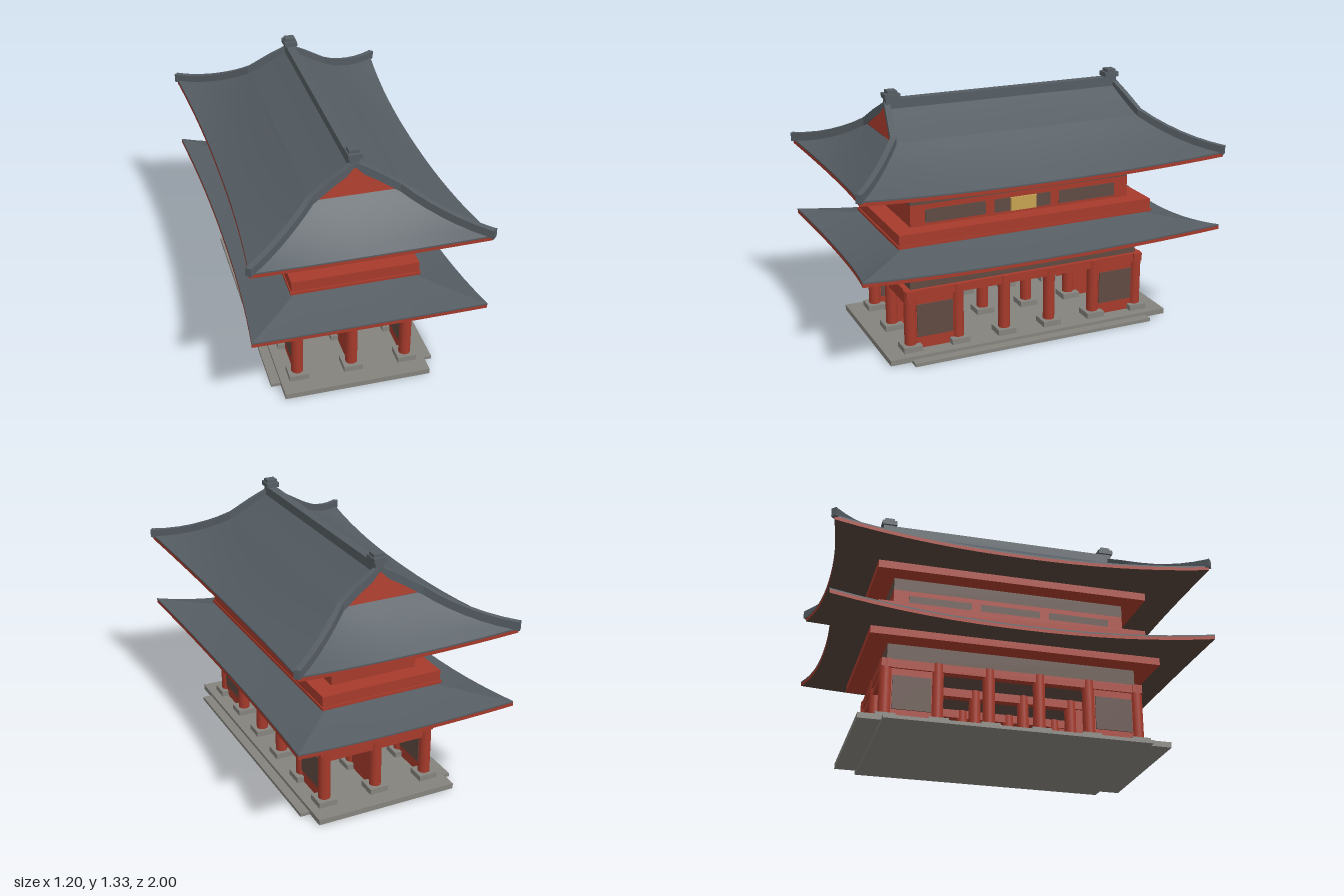
import * as THREE from 'three';
import { mergeGeometries } from 'three/addons/utils/BufferGeometryUtils.js';

const mat = (name, color, side = THREE.FrontSide) => {
  const m = new THREE.MeshStandardMaterial({ color, side });
  m.name = name;
  return m;
};
const lerp = THREE.MathUtils.lerp;
const V = (x, y, z) => new THREE.Vector3(x, y, z);

// Grid surface from fn(u, v), normal along du x dv
function surface(fn, nu, nv) {
  const pos = [], idx = [];
  for (let j = 0; j <= nv; j++)
    for (let i = 0; i <= nu; i++) pos.push(...fn(i / nu, j / nv).toArray());
  for (let j = 0; j < nv; j++)
    for (let i = 0; i < nu; i++) {
      const a = j * (nu + 1) + i, d = a + nu + 1;
      idx.push(a, a + 1, d, a + 1, d + 1, d);
    }
  const g = new THREE.BufferGeometry();
  g.setAttribute('position', new THREE.Float32BufferAttribute(pos, 3));
  g.setIndex(idx);
  g.computeVertexNormals();
  return g;
}

// Rectangular bar swept along a path, sitting on the path points
function bar(points, w, h) {
  const rings = points.map((p, i) => {
    const d = points[Math.min(i + 1, points.length - 1)].clone().sub(points[Math.max(i - 1, 0)]);
    const n = V(-d.z, 0, d.x).normalize().multiplyScalar(w / 2);
    return [[-1, -0.012], [1, -0.012], [1, h], [-1, h]].map(([a, y]) =>
      p.clone().addScaledVector(n, a).add(V(0, y, 0)));
  });
  const pos = [];
  const quad = (a, b, c, d) => [a, b, c, a, c, d].forEach(p => pos.push(p.x, p.y, p.z));
  for (let i = 0; i + 1 < rings.length; i++)
    for (let k = 0; k < 4; k++) {
      const l = (k + 1) % 4;
      quad(rings[i][k], rings[i + 1][k], rings[i + 1][l], rings[i][l]);
    }
  quad(...rings[0]);
  quad(...rings[rings.length - 1].slice().reverse());
  const g = new THREE.BufferGeometry();
  g.setAttribute('position', new THREE.Float32BufferAttribute(pos, 3));
  g.computeVertexNormals();
  return g;
}

// Eave line: bows inward and dips in the middle, s = -1..1 along one side
function eave(alongX, sg, s, yMid, yEnd) {
  const k = Math.abs(s) ** 2.2, y = lerp(yMid, yEnd, k);
  return alongX ? V(s * 0.585, y, sg * lerp(0.93, 0.985, k)) : V(sg * lerp(0.532, 0.585, k), y, s * 0.985);
}
const inner = (alongX, sg, s, r) => alongX ? V(s * r.x, r.y, sg * r.z) : V(sg * r.x, r.y, s * r.z);

// Point on a roof skirt from its inner rectangle (t = 0) to the eave (t = 1)
function skirt(alongX, sg, s, t, top, yMid, yEnd) {
  const a = inner(alongX, sg, s, top), b = eave(alongX, sg, s, yMid, yEnd);
  const f = t + (0.2 + 0.5 * s * s) * t * (1 - t);
  return V(lerp(a.x, b.x, t), lerp(a.y, b.y, f), lerp(a.z, b.z, t));
}

// One strip repeated on all four sides
function fourSides(fn, nu, nv) {
  const parts = [];
  for (const alongX of [false, true])
    for (const sg of [-1, 1]) {
      const dir = alongX ? -sg : sg;
      parts.push(surface((u, v) => fn(alongX, sg, dir * (2 * u - 1), v), nu, nv));
    }
  return mergeGeometries(parts);
}

export function createModel() {
  const red = mat('vermilion', 0xa63a2b);
  const tile = mat('roof tile', 0x555d63, THREE.DoubleSide);
  const trim = mat('eave red', 0xa63a2b, THREE.DoubleSide);
  const brown = mat('brown wall', 0x5f4a42);
  const soffitMat = mat('soffit brown', 0x55413a, THREE.DoubleSide);
  const stone = mat('stone', 0x85837d);
  const gold = mat('gold', 0xc8a352);

  const root = new THREE.Group();
  root.name = 'templeGate';
  const add = (name, geo, m, parent = root) => {
    const mesh = new THREE.Mesh(geo, m);
    mesh.name = name;
    parent.add(mesh);
    return mesh;
  };
  // Box centred on (x, z) between heights y0 and y1
  const box = (name, m, w, d, y0, y1, x = 0, z = 0) => {
    const mesh = add(name, new THREE.BoxGeometry(w, y1 - y0, d), m);
    mesh.position.set(x, (y0 + y1) / 2, z);
    return mesh;
  };

  // Stone platform and side steps
  box('platform', stone, 0.77, 1.59, 0.006, 0.035);
  box('sideSteps', stone, 0.868, 1.36, 0, 0.018);

  // Pillars on stone feet
  const rows = [-0.29, 0, 0.29], bays = [-0.655, -0.393, -0.131, 0.131, 0.393, 0.655];
  for (const x of rows)
    for (const z of bays) {
      box('pillarFoot', stone, 0.1, 0.1, 0.035, 0.065, x, z);
      add('pillar', new THREE.CylinderGeometry(0.031, 0.031, 0.3, 16), red).position.set(x, 0.21, z);
    }

  // Beams over the pillars
  for (const x of rows) box('longBeam', red, 0.045, 1.36, 0.315, 0.36, x);
  for (const z of [-0.655, 0.655]) {
    box('endBeam', red, 0.64, 0.05, 0.315, 0.36, 0, z);
    box('lowerEndBeam', red, 0.58, 0.035, 0.277, 0.315, 0, z);
  }

  // Walls in the outer bays, with brown infill on the outer rows
  for (const z of [-0.524, 0.524])
    for (const x of rows) {
      box('bayWall', red, 0.024, 0.26, 0.035, 0.32, x, z);
      if (x) for (const s of [-1, 1]) box('bayPanel', brown, 0.008, 0.195, 0.1, 0.277, x + s * 0.014, z);
    }

  // Lower bracket wall and eave beam
  box('lowerBracketWall', brown, 0.584, 1.3, 0.36, 0.455);
  box('lowerEaveBeam', red, 0.79, 1.51, 0.45, 0.489);

  // Balcony
  box('balconyFloor', red, 0.666, 1.44, 0.6, 0.615);
  box('balconyRail', red, 0.655, 1.425, 0.615, 0.67);

  // Upper storey
  box('upperWall', red, 0.47, 1.24, 0.55, 0.784);
  box('upperBracketWall', brown, 0.47, 1.24, 0.784, 0.855);
  box('upperEaveBeam', red, 0.667, 1.44, 0.85, 0.893);
  for (const s of [-1, 1])
    for (const [z, w] of [[-0.375, 0.33], [0, 0.32], [0.375, 0.33]])
      box('upperPanel', brown, 0.006, w, 0.685, 0.756, s * 0.235, z);
  box('plaque', gold, 0.011, 0.145, 0.687, 0.758, 0.247);

  // Both roofs: tiled skirt, tile edge, red trim and soffit
  const roof = (name, top, low, yMid, yEnd) => {
    const g = new THREE.Group();
    g.name = name;
    root.add(g);
    const strip = (h0, h1) => fourSides((a, sg, s, t) => eave(a, sg, s, yMid, yEnd).add(V(0, -lerp(h0, h1, t), 0)), 16, 1);
    add('tiledSkirt', fourSides((a, sg, s, t) => skirt(a, sg, s, t, top, yMid, yEnd), 16, 6), tile, g);
    add('tileEdge', strip(0, 0.008), tile, g);
    add('eaveTrim', strip(0.008, 0.026), trim, g);
    add('soffit', fourSides((a, sg, s, t) =>
      eave(a, sg, s, yMid - 0.026, yEnd - 0.026).lerp(inner(a, sg, s, low), t), 16, 2), soffitMat, g);
    return g;
  };
  roof('lowerRoof', { x: 0.23, y: 0.602, z: 0.615 }, { x: 0.38, y: 0.486, z: 0.74 }, 0.517, 0.567);
  const top = { x: 0.22, y: 1.11, z: 0.69 };
  const upper = roof('upperRoof', top, { x: 0.32, y: 0.889, z: 0.7 }, 0.92, 0.967);

  // Main slopes above the skirt
  for (const sg of [-1, 1])
    add('mainSlope', surface((u, v) => {
      const s = sg * (2 * u - 1);
      return V(sg * v * top.x, lerp(1.25, top.y, v + 0.12 * v * (1 - v)), s * lerp(0.66, top.z, v));
    }, 2, 4), tile, upper);

  // Gables, ridge ends and hip ridges
  for (const sz of [-1, 1]) {
    const gable = new THREE.BufferGeometry().setFromPoints(
      [V(-sz * 0.21, 1.11, sz * 0.687), V(sz * 0.21, 1.11, sz * 0.687), V(0, 1.24, sz * 0.661)]);
    gable.computeVertexNormals();
    add('gable', gable, trim, upper);
    for (const sx of [-1, 1]) {
      const path = [V(0, 1.237, sz * 0.645), V(sx * 0.11, 1.177, sz * 0.667)];
      for (let i = 0; i <= 6; i++) path.push(skirt(false, sx, sz, i / 6, top, 0.92, 0.967));
      path.push(path[path.length - 1].clone().add(V(sx * 0.005, 0.002, sz * 0.005)));
      add('hipRidge', bar(path, 0.03, 0.033), tile, upper);
    }
    box('ridgeNeck', tile, 0.046, 0.06, 1.23, 1.287, 0, sz * 0.625);
    box('ridgeFinial', tile, 0.07, 0.08, 1.285, 1.31, 0, sz * 0.623);
    box('finialCap', tile, 0.056, 0.05, 1.31, 1.326, 0, sz * 0.623);
  }
  box('mainRidge', tile, 0.048, 1.3, 1.228, 1.282);
  return root;
}
